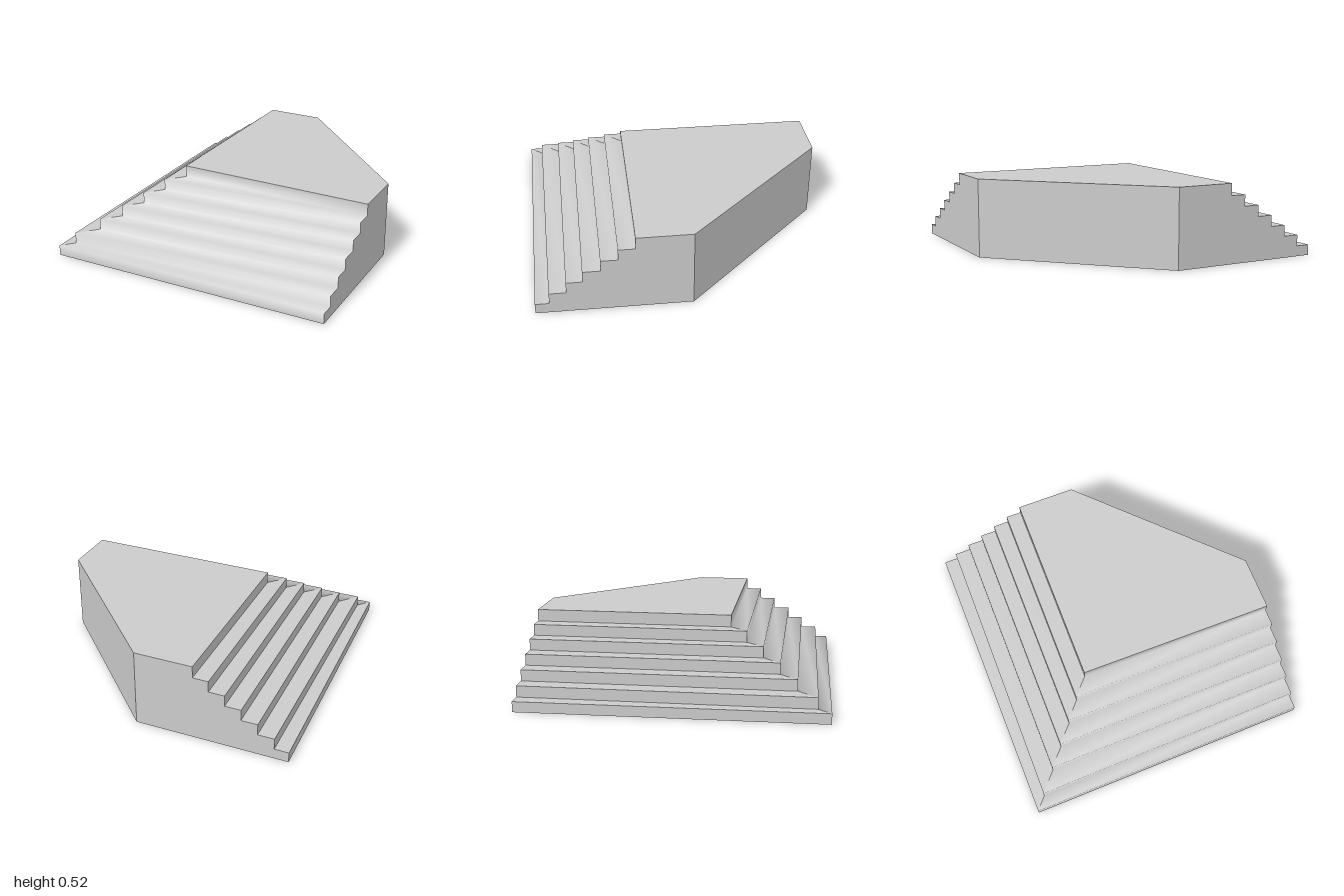
import * as THREE from 'three';

// Step heights and, per step, its outer corner, back end and right end
const heights = [0.07, 0.145, 0.22, 0.295, 0.37, 0.445, 0.525];
const corners = [[-0.96, 1], [-0.885, 0.915], [-0.77, 0.785], [-0.665, 0.67], [-0.56, 0.555], [-0.46, 0.44], [-0.355, 0.325]];
const backX = [-0.99, -0.895, -0.785, -0.675, -0.567, -0.46, -0.355];
const rightZ = [0.97, 0.88, 0.77, 0.665, 0.55, 0.44, 0.33];
const RIGHT = 0.985, BACK = -1, CUT_X = 0.04, CUT_Z = -0.035;
const TOP = heights[heights.length - 1];

// Stepped profile climbing through the given [x, z] positions
function stepProfile(points) {
  return points.flatMap(([x, z], i) => [
    new THREE.Vector3(x, i ? heights[i - 1] : 0, z),
    new THREE.Vector3(x, heights[i], z),
  ]);
}

// Surface between two profiles; a is on the left seen from outside
function strip(a, b, smooth) {
  const index = [];
  const n = a.length;
  for (let i = 0; i < n - 1; i++) index.push(i, n + i, n + i + 1, i, n + i + 1, i + 1);
  let geometry = new THREE.BufferGeometry().setFromPoints([...a, ...b]);
  geometry.setIndex(index);
  if (!smooth) geometry = geometry.toNonIndexed();
  geometry.computeVertexNormals();
  return geometry;
}

function flatFace(points) {
  return new THREE.ShapeGeometry(new THREE.Shape(points.map(([u, v]) => new THREE.Vector2(u, v))));
}

export function createModel() {
  const group = new THREE.Group();
  const material = new THREE.MeshStandardMaterial({ color: 0xcccccc });
  const add = (name, geometry) => {
    const mesh = new THREE.Mesh(geometry, material);
    mesh.name = name;
    group.add(mesh);
  };

  const cornerProfile = stepProfile(corners);
  const backProfile = stepProfile(backX.map((x) => [x, BACK]));
  const rightProfile = stepProfile(rightZ.map((z) => [RIGHT, z]));

  // Two flights meeting at the mitred corner: softly shaded front, crisp side
  add('frontSteps', strip(cornerProfile, rightProfile, true));
  add('sideSteps', strip(backProfile, cornerProfile, false));

  // Stepped end walls
  add('rightWall', flatFace([...rightProfile.map((p) => [-p.z, p.y]), [-CUT_Z, TOP], [-CUT_Z, 0]])
    .rotateY(Math.PI / 2).translate(RIGHT, 0, 0));
  add('backWall', flatFace([...backProfile.map((p) => [-p.x, p.y]), [-CUT_X, TOP], [-CUT_X, 0]])
    .rotateY(Math.PI).translate(0, 0, BACK));

  // Diagonal wall across the back corner
  const post = (x, z) => [new THREE.Vector3(x, 0, z), new THREE.Vector3(x, TOP, z)];
  add('diagonalWall', strip(post(RIGHT, CUT_Z), post(CUT_X, BACK), false));

  // Landing and underside share the five-sided plan
  const plan = (i) => [corners[i], [RIGHT, rightZ[i]], [RIGHT, CUT_Z], [CUT_X, BACK], [backX[i], BACK]];
  add('landing', flatFace(plan(heights.length - 1).map(([x, z]) => [x, -z]))
    .rotateX(-Math.PI / 2).translate(0, TOP, 0));
  add('underside', flatFace(plan(0)).rotateX(Math.PI / 2));

  return group;
}
